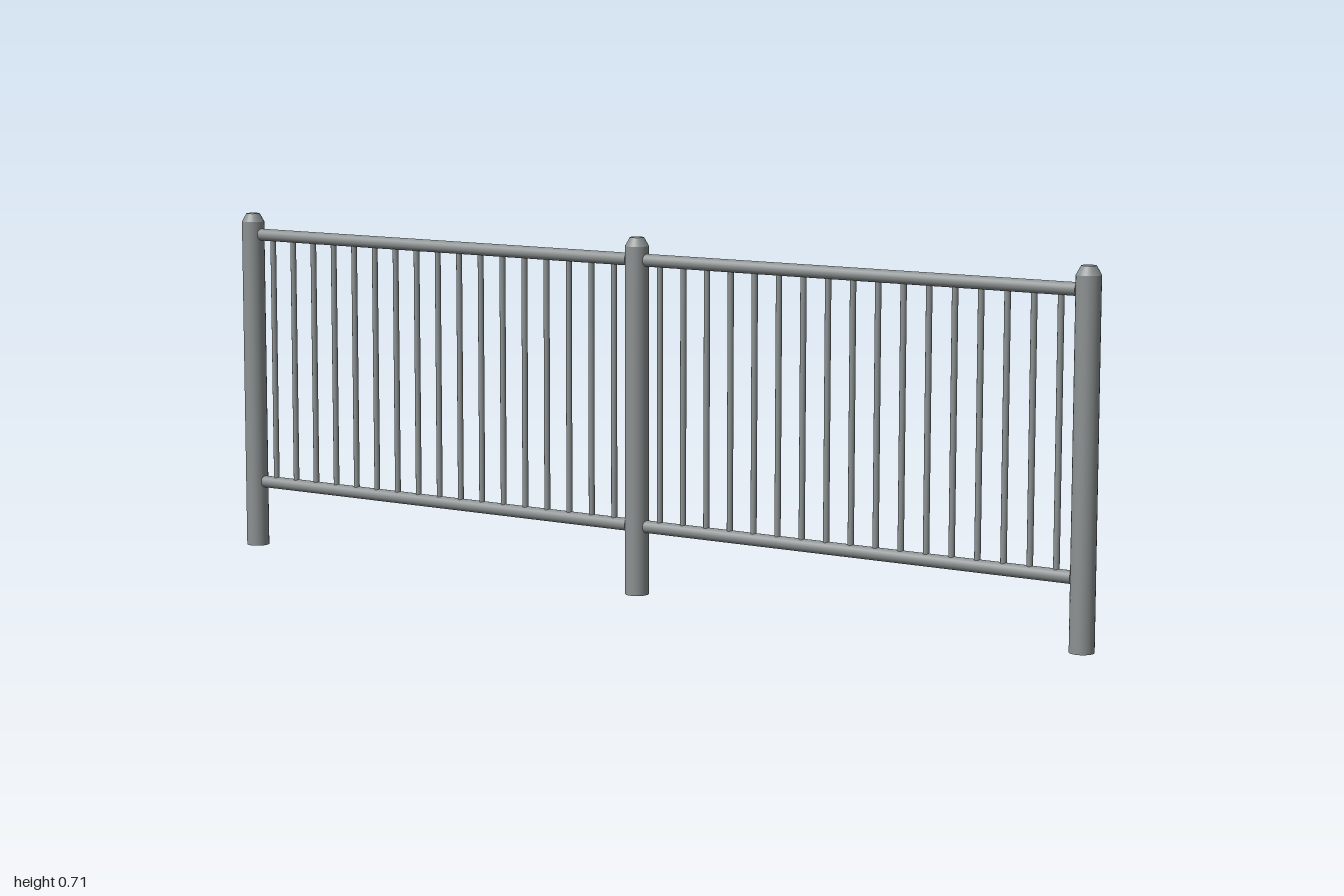
import * as THREE from 'three';

export function createModel() {
  const fence = new THREE.Group();
  fence.name = 'railingFence';
  const steel = new THREE.MeshStandardMaterial({ color: 0x8c9191 });
  steel.name = 'galvanised grey';

  const SPAN = 0.9765;      // distance between post centres
  const POST_R = 0.0235;
  const SHOULDER = 0.69;    // height where the post cap begins
  const TOP = 0.707;
  const RAILS = { lowerRail: 0.137, upperRail: 0.663 };
  const BARS = 17;

  const add = (parent, name, geometry, x, y) => {
    const mesh = new THREE.Mesh(geometry, steel);
    mesh.name = name;
    mesh.position.set(x, y, 0);
    parent.add(mesh);
  };

  // Posts with bevelled caps
  const postGeo = new THREE.CylinderGeometry(POST_R, POST_R, SHOULDER, 24, 1, false);
  const capGeo = new THREE.CylinderGeometry(0.014, POST_R, TOP - SHOULDER, 24);
  for (const i of [-1, 0, 1]) {
    const post = new THREE.Group();
    post.name = 'post';
    post.position.x = i * SPAN;
    add(post, 'postShaft', postGeo, 0, SHOULDER / 2);
    add(post, 'postCap', capGeo, 0, (SHOULDER + TOP) / 2);
    fence.add(post);
  }

  // Panels: two round rails, butted against the posts, joined by thin bars
  const railGeo = new THREE.CylinderGeometry(0.0125, 0.0125, SPAN - 2 * POST_R + 0.004, 20);
  railGeo.rotateZ(Math.PI / 2);
  const barGeo = new THREE.CylinderGeometry(0.006, 0.006, RAILS.upperRail - RAILS.lowerRail, 12);
  const barY = (RAILS.upperRail + RAILS.lowerRail) / 2;
  for (const side of [-1, 1]) {
    const panel = new THREE.Group();
    panel.name = side < 0 ? 'rightPanel' : 'leftPanel';
    panel.position.x = side * SPAN / 2;
    for (const [name, y] of Object.entries(RAILS)) add(panel, name, railGeo, 0, y);
    for (let i = 1; i <= BARS; i++) {
      add(panel, 'bar', barGeo, (i / (BARS + 1) - 0.5) * SPAN, barY);
    }
    fence.add(panel);
  }
  return fence;
}
